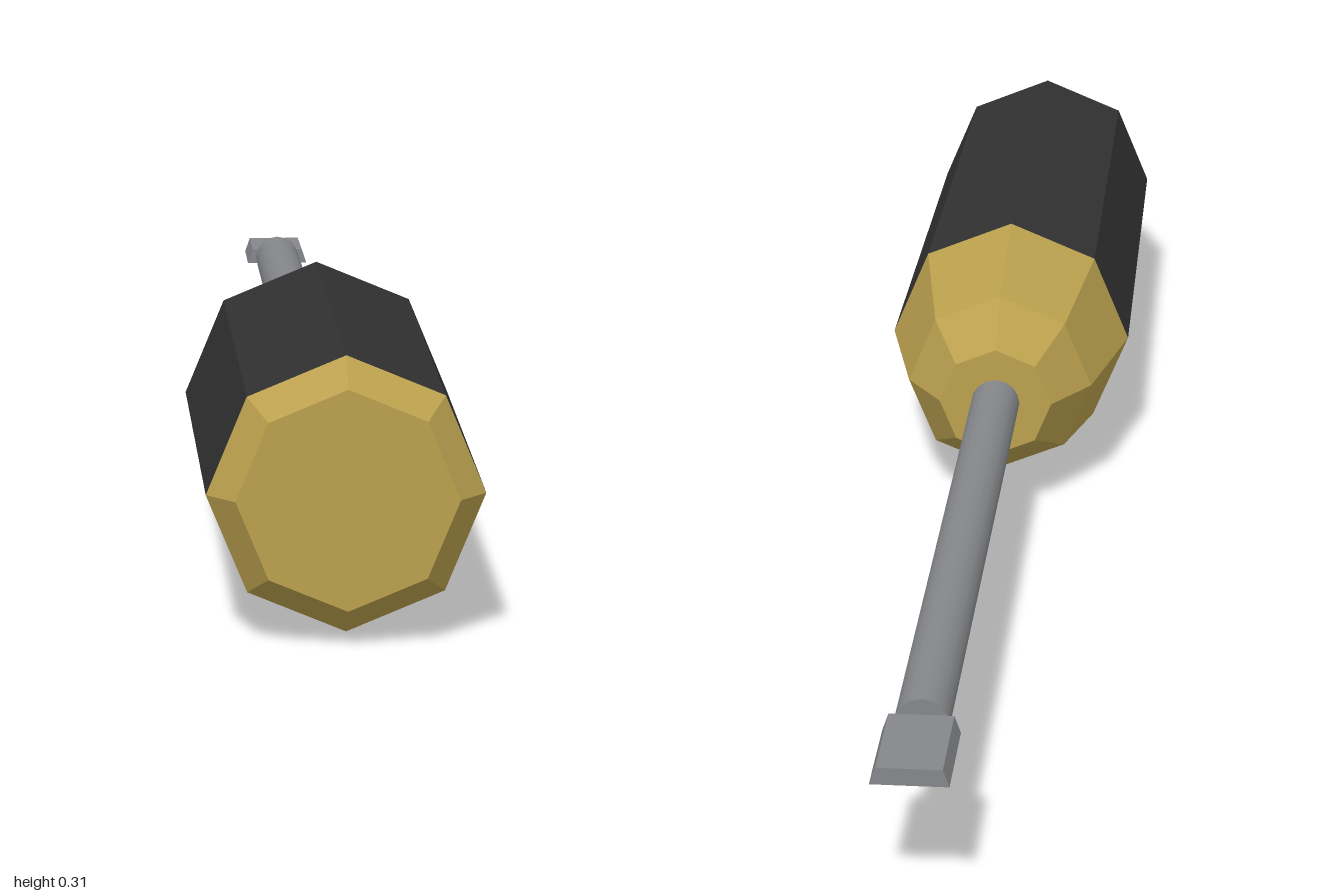
import * as THREE from 'three';

const AXIS_Y = 0.157;

function material(name, color, flatShading = false) {
  const m = new THREE.MeshStandardMaterial({ color, flatShading });
  m.name = name;
  return m;
}

// Turned part along the z axis from [radius, z] pairs, z ascending
function turned(name, profile, sides, mat) {
  const points = profile.map(([r, z]) => new THREE.Vector2(r, z));
  const geometry = new THREE.LatheGeometry(points, sides);
  geometry.rotateX(Math.PI / 2);
  const mesh = new THREE.Mesh(geometry, mat);
  mesh.name = name;
  mesh.position.y = AXIS_Y;
  return mesh;
}

export function createModel() {
  const gold = material('ochre plastic', 0xbaa04e, true);
  const black = material('black grip', 0x313131, true);
  const steel = material('steel', 0x85878a);
  const model = new THREE.Group();
  model.name = 'screwdriver';

  // Octagonal handle: collar, grip and end cap
  model.add(
    turned('collar', [[0, 0.065], [0.072, 0.065], [0.119, 0.135], [0.157, 0.31]], 8, gold),
    turned('grip', [[0.157, 0.31], [0.148, 0.96]], 8, black),
    turned('endCap', [[0.148, 0.96], [0.118, 1], [0, 1]], 8, gold)
  );

  // Round shaft with a flat end
  const shaftGeometry = new THREE.CylinderGeometry(0.031, 0.031, 0.96, 16);
  shaftGeometry.rotateX(Math.PI / 2);
  const shaft = new THREE.Mesh(shaftGeometry, steel);
  shaft.name = 'shaft';
  shaft.position.set(0, AXIS_Y, -0.39);
  model.add(shaft);

  // Flat blade, slightly narrower on its upper face
  const section = new THREE.Shape([
    new THREE.Vector2(-0.043, -0.01), new THREE.Vector2(0.043, -0.01),
    new THREE.Vector2(0.036, 0.01), new THREE.Vector2(-0.036, 0.01)
  ]);
  const blade = new THREE.Mesh(
    new THREE.ExtrudeGeometry(section, { depth: 0.13, bevelEnabled: false }), steel);
  blade.name = 'blade';
  blade.position.set(0, AXIS_Y + 0.002, -1);
  model.add(blade);

  return model;
}
